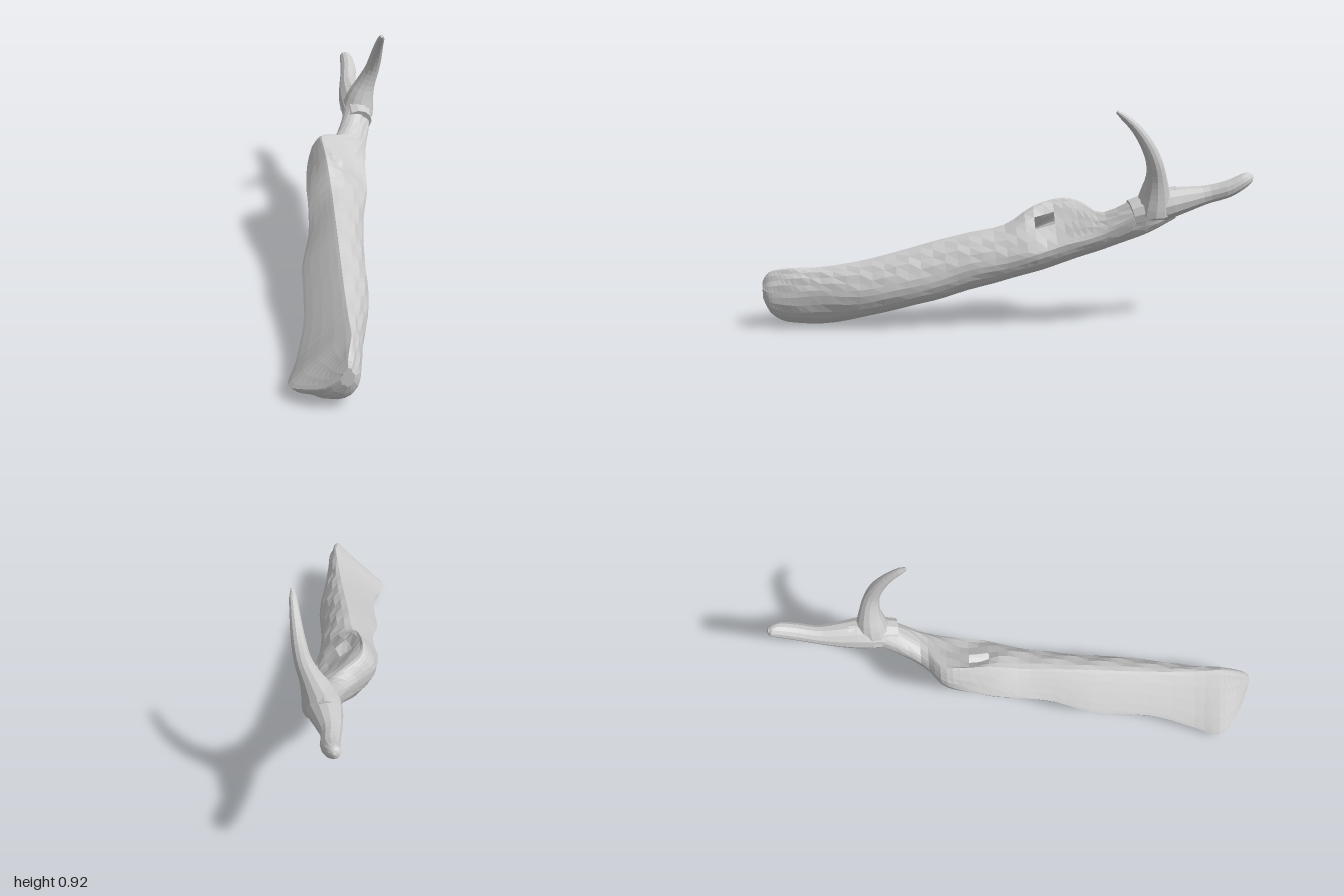
import * as THREE from 'three';

const material = new THREE.MeshStandardMaterial({ color: 0xcccccc, flatShading: true, side: THREE.DoubleSide });

// Skins a list of closed rings; skip(i, j) leaves a face open.
function loft(name, rings, skip = () => false) {
  const n = rings[0].length, pos = [], idx = [];
  rings.forEach((r) => r.forEach((p) => pos.push(p.x, p.y, p.z)));
  for (let i = 0; i < rings.length - 1; i++) {
    for (let j = 0; j < n; j++) {
      if (skip(i, j)) continue;
      const k = (j + 1) % n;
      const a = i * n + j, b = i * n + k, c = a + n, d = b + n;
      idx.push(a, c, b, b, c, d);
    }
  }
  // end caps
  [0, rings.length - 1].forEach((i) => {
    const mid = new THREE.Vector3();
    rings[i].forEach((p) => mid.addScaledVector(p, 1 / n));
    const m = pos.length / 3;
    pos.push(mid.x, mid.y, mid.z);
    for (let j = 0; j < n; j++) {
      const a = i * n + j, b = i * n + ((j + 1) % n);
      if (i === 0) idx.push(m, a, b); else idx.push(m, b, a);
    }
  });
  const geo = new THREE.BufferGeometry();
  geo.setAttribute('position', new THREE.Float32BufferAttribute(pos, 3));
  geo.setIndex(idx);
  geo.computeVertexNormals();
  const mesh = new THREE.Mesh(geo, material);
  mesh.name = name;
  return mesh;
}

// Smooth interpolation through rows of numbers
function spline(rows, t) {
  const i = Math.min(Math.floor(t), rows.length - 2), f = t - i;
  const at = (k) => rows[Math.max(0, Math.min(rows.length - 1, k))];
  const [A, B, C, D] = [at(i - 1), at(i), at(i + 1), at(i + 2)];
  return B.map((b, k) => {
    const m0 = (C[k] - A[k]) / 2, m1 = (D[k] - b) / 2, d = C[k] - b;
    return b + f * (m0 + f * (3 * d - 2 * m0 - m1 + f * (m0 + m1 - 2 * d)));
  });
}

// Tapered round prong: points are [x, y, z, radius]
function prong(name, points, steps = 20, sides = 12) {
  const curve = new THREE.CatmullRomCurve3(points.map((p) => new THREE.Vector3(p[0], p[1], p[2])));
  const frames = curve.computeFrenetFrames(steps);
  const rings = [];
  for (let i = 0; i <= steps; i++) {
    const t = i / steps, c = curve.getPoint(t);
    const r = spline(points, t * (points.length - 1))[3];
    rings.push(Array.from({ length: sides }, (_, j) => {
      const a = (j / sides) * Math.PI * 2;
      return c.clone().addScaledVector(frames.normals[i], r * Math.cos(a))
        .addScaledVector(frames.binormals[i], -r * Math.sin(a));
    }));
  }
  return loft(name, rings);
}

// Trunk sections: z, left x y, ridge x y, right x y, bottom x y
const SECTIONS = [
  [1.0, -0.07, 0.15, -0.045, 0.2, -0.02, 0.16, -0.045, 0.12],
  [0.975, -0.13, 0.1, -0.04, 0.235, 0.0, 0.14, -0.06, 0.06],
  [0.93, -0.2, 0.07, -0.03, 0.25, 0.01, 0.14, -0.08, 0.02],
  [0.87, -0.25, 0.05, -0.02, 0.257, 0.02, 0.14, -0.09, 0.005],
  [0.76, -0.215, 0.07, -0.02, 0.258, 0.035, 0.15, -0.08, 0.0],
  [0.6, -0.175, 0.13, -0.02, 0.28, 0.07, 0.15, -0.06, 0.03],
  [0.45, -0.165, 0.17, -0.02, 0.315, 0.088, 0.18, -0.03, 0.07],
  [0.3, -0.16, 0.21, -0.02, 0.355, 0.092, 0.21, 0.0, 0.11],
  [0.15, -0.125, 0.27, -0.02, 0.39, 0.1, 0.26, 0.01, 0.155],
  [0.0, -0.115, 0.32, -0.02, 0.42, 0.12, 0.29, 0.03, 0.2],
  [-0.12, -0.115, 0.37, -0.03, 0.495, 0.145, 0.33, 0.04, 0.235],
  [-0.24, -0.1, 0.42, -0.04, 0.525, 0.15, 0.37, 0.05, 0.275],
  [-0.32, -0.07, 0.44, -0.02, 0.51, 0.158, 0.39, 0.06, 0.305],
  [-0.4, 0.02, 0.43, 0.09, 0.485, 0.17, 0.42, 0.1, 0.34],
  [-0.55, 0.08, 0.5, 0.145, 0.57, 0.2, 0.5, 0.15, 0.405],
  [-0.68, 0.09, 0.54, 0.14, 0.6, 0.175, 0.54, 0.135, 0.465],
];

function trunk() {
  const perRow = 3, q = 6, rings = [];
  const total = (SECTIONS.length - 1) * perRow;
  for (let i = 0; i <= total; i++) {
    const [z, lx, ly, tx, ty, rx, ry, bx, by] = spline(SECTIONS, i / perRow);
    const knob = Math.exp(-(((z + 0.2) / 0.11) ** 2));
    const back = THREE.MathUtils.smoothstep(-z, 0.15, 0.42);
    // from side point to top/bottom point; e = 1 round, 2 straight, more is hollow
    const quarters = [
      [rx, ry, tx, ty, 1.2 + 1.1 * knob, false],
      [lx, ly, tx, ty, 1.85 - 0.85 * back, true],
      [lx, ly, bx, by, 1.35 - 0.35 * back, false],
      [rx, ry, bx, by, 1, true],
    ];
    const ring = [];
    quarters.forEach(([sx, sy, ex, ey, e, reversed]) => {
      for (let k = 0; k < q; k++) {
        const a = ((reversed ? q - k : k) / q) * Math.PI / 2;
        const c = Math.max(0, Math.cos(a)) ** e, s = Math.sin(a) ** e;
        const bump = 0.003 * Math.sin(z * 31 + k * 2.1 + sx * 9) * Math.sin(2 * a);
        ring.push(new THREE.Vector3(ex + (sx - ex) * c + bump, sy + (ey - sy) * s + bump, z));
      }
    });
    rings.push(ring);
  }
  // small torn opening beside the knob
  const open = (i, j) => (i === 30 || i === 31) && j === 3;
  return loft('trunk', rings, open);
}

export function createModel() {
  const group = new THREE.Group();
  group.name = 'forkedBranch';
  group.add(trunk());
  // straight end of the fork
  group.add(prong('rearProng', [
    [0.145, 0.49, -0.5, 0.06], [0.14, 0.525, -0.62, 0.068], [0.13, 0.543, -0.72, 0.054],
    [0.127, 0.56, -0.81, 0.039], [0.137, 0.585, -0.9, 0.036], [0.135, 0.617, -0.965, 0.031],
    [0.128, 0.63, -0.99, 0.022], [0.126, 0.635, -1.0, 0.008],
  ]));
  // curved upright end of the fork
  group.add(prong('uprightProng', [
    [0.145, 0.5, -0.585, 0.075], [0.16, 0.57, -0.59, 0.063], [0.185, 0.64, -0.588, 0.044],
    [0.211, 0.71, -0.574, 0.033], [0.224, 0.78, -0.543, 0.027], [0.231, 0.85, -0.494, 0.02],
    [0.235, 0.9, -0.441, 0.014], [0.235, 0.918, -0.416, 0.007],
  ]));
  return group;
}
